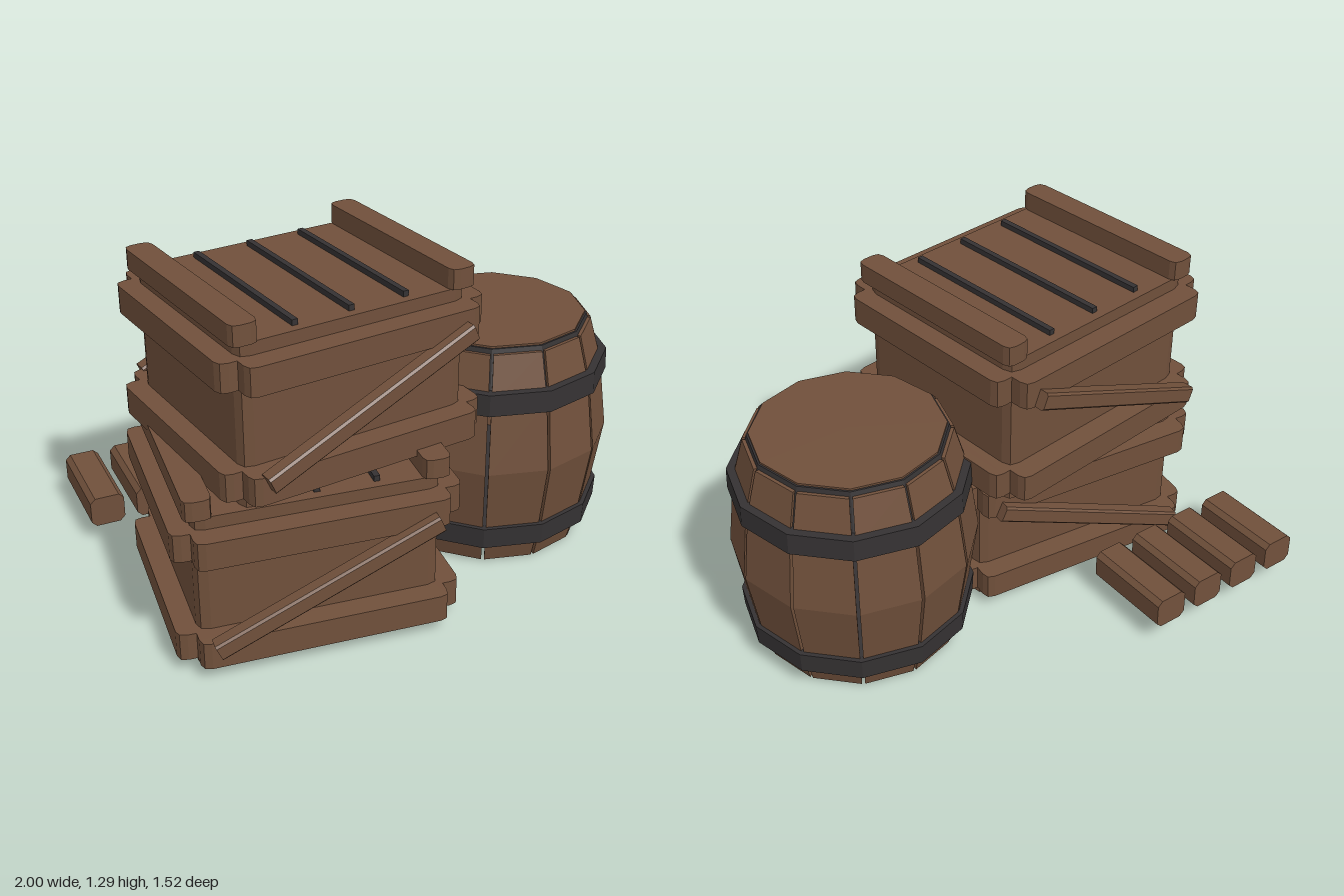
import * as THREE from 'three';

const wood = new THREE.MeshStandardMaterial({ color: 0x70503b });
wood.name = 'brown wood';
const iron = new THREE.MeshStandardMaterial({ color: 0x353233 });
iron.name = 'dark iron';

function flat(geometry) {
  const g = geometry.index ? geometry.toNonIndexed() : geometry;
  g.computeVertexNormals();
  return g;
}

function add(parent, name, geometry, material, x = 0, y = 0, z = 0) {
  const mesh = new THREE.Mesh(flat(geometry), material);
  mesh.name = name;
  mesh.position.set(x, y, z);
  parent.add(mesh);
  return mesh;
}

// Bar with a w x h section, clipped corners, running along z and centred
function bar(w, h, length, r, segments = 1) {
  const a = w / 2, b = h / 2;
  const s = new THREE.Shape();
  s.moveTo(-a + r, -b);
  s.lineTo(a - r, -b);
  s.quadraticCurveTo(a, -b, a, -b + r);
  s.lineTo(a, b - r);
  s.quadraticCurveTo(a, b, a - r, b);
  s.lineTo(-a + r, b);
  s.quadraticCurveTo(-a, b, -a, b - r);
  s.lineTo(-a, -b + r);
  s.quadraticCurveTo(-a, -b, -a + r, -b);
  const g = new THREE.ExtrudeGeometry(s, { depth: length, bevelEnabled: false, curveSegments: segments });
  return g.translate(0, 0, -length / 2);
}

// Slab whose upright edges are rounded off
const slab = (w, h, d, r) => bar(w, d, h, r, 2).rotateX(-Math.PI / 2);

function crate(name, x, y, z, turn) {
  const g = new THREE.Group();
  g.name = name;
  const w = 0.89, d = 0.775;
  add(g, 'crateBody', slab(w, 0.607, d, 0.045), wood, 0, 0.3035, 0);

  // Two belts of beams round the box
  for (const by of [0.104, 0.507]) {
    for (const s of [-1, 1]) {
      add(g, 'sideBeam', slab(0.11, 0.105, d + 0.02, 0.035), wood, s * (w / 2 + 0.022), by, 0);
      add(g, 'crossBeam', slab(w + 0.02, 0.105, 0.11, 0.035), wood, 0, by, s * (d / 2 + 0.032));
    }
  }

  // Diagonal braces on front and back, high at the +x end
  for (const s of [-1, 1]) {
    const brace = add(g, 'diagonalBrace', bar(0.06, 0.066, 0.88, 0.008).rotateY(Math.PI / 2), wood, 0, 0.312, s * 0.485);
    brace.rotation.z = 0.41;
  }

  // Lid rails and the dark gaps between lid boards
  for (const s of [-1, 1]) add(g, 'lidRail', slab(0.1, 0.075, 0.81, 0.03), wood, s * 0.425, 0.645, 0);
  for (const i of [-1, 0, 1]) add(g, 'lidStrip', new THREE.BoxGeometry(0.022, 0.022, 0.705), iron, i * 0.217, 0.617, 0);

  g.position.set(x, y, z);
  g.rotation.y = turn;
  return g;
}

// One stave: a box bent to the barrel's bulging profile
function stave(angle) {
  const profile = [[0.005, 0.388], [0.14, 0.424], [0.43, 0.467], [0.71, 0.43], [0.885, 0.38]];
  const g = new THREE.BoxGeometry(1, 1, 1, 1, 4, 1);
  const p = g.attributes.position;
  const half = Math.PI / 12;
  for (let i = 0; i < p.count; i++) {
    const [y, radius] = profile[Math.round((p.getY(i) + 0.5) * 4)];
    const r = p.getZ(i) > 0 ? radius : radius - 0.03;
    const side = Math.sign(p.getX(i));
    p.setXYZ(i, side * (r * Math.sin(half) - 0.006), y, r * Math.cos(half));
  }
  return g.rotateY(angle);
}

function barrel() {
  const g = new THREE.Group();
  g.name = 'barrel';
  for (let i = 0; i < 12; i++) add(g, 'stave', stave((i + 0.5) * Math.PI / 6), wood);
  // Solid hoops also close the barrel inside
  add(g, 'lowerHoop', new THREE.CylinderGeometry(0.447, 0.443, 0.085, 12), iron, 0, 0.137, 0);
  add(g, 'upperHoop', new THREE.CylinderGeometry(0.448, 0.452, 0.085, 12), iron, 0, 0.713, 0);
  // Dark neck behind the upper staves, with the wooden lid on it
  add(g, 'neck', new THREE.CylinderGeometry(0.362, 0.405, 0.155, 12), iron, 0, 0.825, 0);
  add(g, 'lid', new THREE.CylinderGeometry(0.355, 0.355, 0.008, 12), wood, 0, 0.906, 0);
  g.position.set(0.53, 0, 0.047);
  return g;
}

export function createModel() {
  const model = new THREE.Group();
  model.name = 'cratesAndBarrel';
  model.add(crate('lowerCrate', -0.395, 0, 0.2, -0.11));
  model.add(crate('upperCrate', -0.305, 0.607, 0.113, 0.127));
  model.add(barrel());

  // Loose planks behind the crates
  for (let i = 0; i < 4; i++) {
    const plank = add(model, 'plank', bar(0.136, 0.125, 0.367, 0.02), wood, -0.932 + i * 0.1875, 0.142, -0.573);
    plank.rotation.x = 0.03;
  }
  return model;
}
